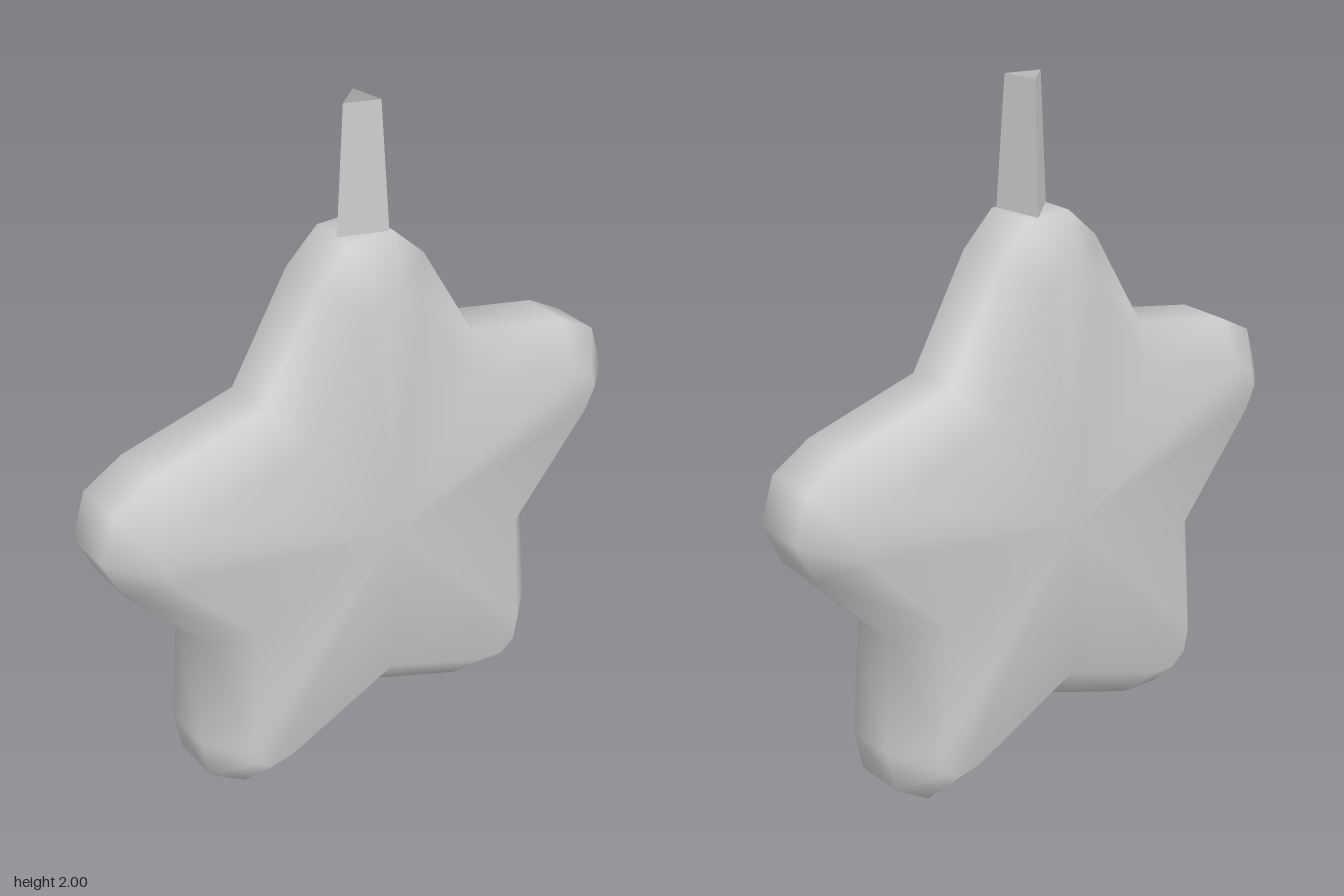
import * as THREE from 'three';

const CENTER_Y = 0.755, ARMS = 5;

// One ring of the star: the same arm profile (along arm, across arm) repeated round the centre.
function starRing(profile, z) {
  const ring = [];
  for (let arm = 0; arm < ARMS; arm++) {
    const a = Math.PI / 2 + (arm * 2 * Math.PI) / ARMS;
    for (const [u, w] of profile) {
      ring.push([u * Math.cos(a) - w * Math.sin(a), CENTER_Y + u * Math.sin(a) + w * Math.cos(a), z]);
    }
  }
  return ring;
}

// Puffy star: front face, chamfer, rim, chamfer and back face sharing smooth normals.
function starGeometry() {
  const outer = [[0.79, -0.17], [0.882, -0.07], [0.882, 0.07], [0.79, 0.17], [0.485, 0.353]];
  const inner = [[0.72, -0.083], [0.772, -0.029], [0.772, 0.029], [0.72, 0.083], [0.389, 0.283]];
  const rings = [
    starRing(inner, 0.18), starRing(outer, 0.075),
    starRing(outer, -0.075), starRing(inner, -0.18),
  ];
  const n = rings[0].length;
  const points = [...rings.flat(), [0, CENTER_Y, 0.18], [0, CENTER_Y, -0.18]];
  const front = 4 * n, back = front + 1, index = [];
  for (let i = 0; i < n; i++) {
    const j = (i + 1) % n;
    index.push(front, i, j, back, 3 * n + j, 3 * n + i);
    for (let r = 0; r < 3; r++) {
      const a = r * n + i, b = r * n + j;
      index.push(a, a + n, b, b, a + n, b + n);
    }
  }
  const geometry = new THREE.BufferGeometry();
  geometry.setAttribute('position', new THREE.Float32BufferAttribute(points.flat(), 3));
  geometry.setIndex(index);
  geometry.computeVertexNormals();
  return geometry;
}

export function createModel() {
  const group = new THREE.Group();
  group.name = 'starOrnament';

  const star = new THREE.Mesh(starGeometry(), new THREE.MeshStandardMaterial({ color: 0xcccccc }));
  star.name = 'starBody';
  group.add(star);

  // Open, tapered three-sided stem on the top arm
  const stem = new THREE.Mesh(
    new THREE.CylinderGeometry(0.058, 0.082, 0.364, 3, 1, true, -1.41),
    new THREE.MeshStandardMaterial({ color: 0xcccccc, flatShading: true, side: THREE.DoubleSide })
  );
  stem.name = 'stem';
  stem.position.set(0.008, 1.818, 0.005);
  group.add(stem);

  return group;
}
